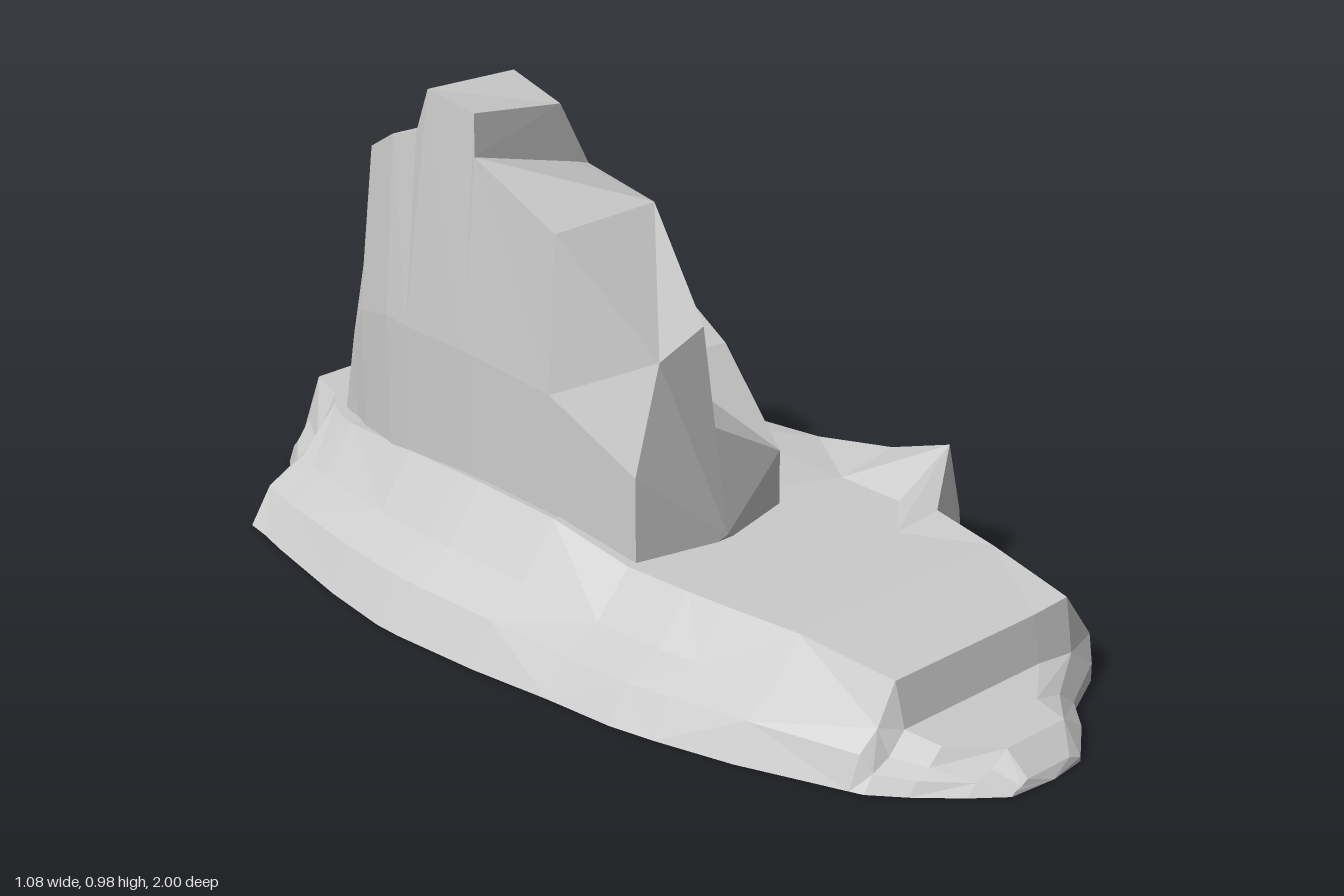
import * as THREE from 'three';

const mix = (a, b, t) => a + (b - a) * t;

// Skin a closed faceted solid over cross-sections that run from front to back;
// frontTip and backTip are the apexes of the end caps.
function loft(rings, frontTip, backTip) {
  const pos = [];
  const tri = (...corners) => corners.forEach((c) => pos.push(...c));
  const n = rings[0].length;
  for (let i = 0; i < rings.length - 1; i++) {
    for (let j = 0; j < n; j++) {
      const k = (j + 1) % n;
      const a = rings[i][j], b = rings[i][k], c = rings[i + 1][j], d = rings[i + 1][k];
      if ((i + j) % 2) { tri(a, b, c); tri(b, d, c); }
      else { tri(a, b, d); tri(a, d, c); }
    }
  }
  const last = rings[rings.length - 1];
  for (let j = 0; j < n; j++) {
    const k = (j + 1) % n;
    tri(frontTip, rings[0][k], rings[0][j]);
    tri(backTip, last[j], last[k]);
  }
  const g = new THREE.BufferGeometry();
  g.setAttribute('position', new THREE.Float32BufferAttribute(pos, 3));
  g.computeVertexNormals();
  return g;
}

// Low shelf: z, left edge x, inner ridge x, top y, shoulder x, shoulder y, right edge x
const shelfStations = [
  [0.99, -0.15, -0.11, 0.02, 0.0, 0.02, 0.03],
  [0.94, -0.21, -0.11, 0.06, 0.04, 0.06, 0.09],
  [0.87, -0.28, -0.20, 0.07, 0.11, 0.055, 0.15],
  [0.81, -0.33, -0.23, 0.09, 0.21, 0.08, 0.27],
  [0.785, -0.34, -0.23, 0.175, 0.22, 0.18, 0.29],
  [0.58, -0.42, -0.26, 0.20, 0.25, 0.20, 0.36],
  [0.42, -0.465, -0.28, 0.20, 0.27, 0.21, 0.34],
  [0.33, -0.485, -0.29, 0.20, 0.40, 0.275, 0.435],
  [0.18, -0.50, -0.30, 0.20, 0.40, 0.22, 0.515],
  [0.0, -0.525, -0.32, 0.24, 0.38, 0.19, 0.54],
  [-0.2, -0.54, -0.33, 0.25, 0.36, 0.18, 0.51],
  [-0.26, -0.54, -0.33, 0.25, 0.29, 0.16, 0.33],
  [-0.42, -0.52, -0.32, 0.24, 0.38, 0.14, 0.42],
  [-0.65, -0.475, -0.28, 0.21, 0.41, 0.14, 0.43],
  [-0.71, -0.46, -0.26, 0.20, 0.20, 0.18, 0.25],
  [-0.77, -0.45, -0.23, 0.20, 0.02, 0.20, 0.10],
  [-0.81, -0.33, -0.20, 0.20, -0.02, 0.20, 0.01],
  [-0.9, -0.25, -0.17, 0.20, -0.03, 0.20, -0.01],
  [-0.96, -0.21, -0.15, 0.09, -0.04, 0.09, -0.02],
];

function shelfRing([z, left, ridge, top, shoulder, shoulderY, right]) {
  return [
    [left, 0, z],
    [mix(left, ridge, 0.22), top * 0.36, z],
    [mix(left, ridge, 0.62), top * 0.56, z],
    [ridge, top, z],
    [mix(ridge, shoulder, 0.8), Math.min(top, 0.205), z],
    [shoulder, shoulderY, z],
    [right, shoulderY * 0.45, z],
    [right, 0, z],
  ];
}

// Tall crag: z, left wall x, left mid y, then x,y of left crest, right crest,
// crest shoulder, ledge inside, ledge edge, and finally the right foot x
const cragStations = [
  [0.18, -0.28, 0.37, -0.22, 0.58, -0.11, 0.62, -0.10, 0.54, -0.08, 0.41, 0.09, 0.31, 0.09],
  [-0.02, -0.31, 0.48, -0.29, 0.79, -0.045, 0.79, -0.04, 0.70, -0.04, 0.47, 0.14, 0.455, 0.14],
  [-0.24, -0.32, 0.50, -0.29, 0.88, -0.04, 0.81, -0.01, 0.80, 0.05, 0.49, 0.22, 0.49, 0.225],
  [-0.25, -0.32, 0.50, -0.28, 0.96, -0.07, 0.93, -0.01, 0.80, 0.05, 0.49, 0.22, 0.49, 0.225],
  [-0.37, -0.32, 0.50, -0.29, 0.98, -0.08, 0.97, -0.02, 0.82, 0.05, 0.56, 0.20, 0.57, 0.225],
  [-0.42, -0.32, 0.50, -0.28, 0.88, -0.04, 0.87, -0.02, 0.80, 0.04, 0.59, 0.20, 0.59, 0.22],
  [-0.49, -0.31, 0.50, -0.28, 0.86, -0.07, 0.85, -0.03, 0.74, 0.04, 0.60, 0.18, 0.595, 0.22],
  [-0.62, -0.27, 0.46, -0.23, 0.79, -0.09, 0.79, -0.06, 0.73, 0.01, 0.60, 0.13, 0.54, 0.23],
  [-0.685, -0.24, 0.38, -0.21, 0.52, -0.08, 0.56, -0.05, 0.55, 0.01, 0.53, 0.10, 0.46, 0.23],
  [-0.75, -0.22, 0.17, -0.19, 0.20, -0.08, 0.21, -0.05, 0.21, 0.0, 0.20, 0.07, 0.18, 0.13],
];

function cragRing([z, wall, midY, lx, ly, rx, ry, sx, sy, ix, iy, ex, ey, foot]) {
  return [[wall, 0.12, z], [wall, midY, z], [lx, ly, z], [rx, ry, z],
    [sx, sy, z], [ix, iy, z], [ex, ey, z], [foot, 0.12, z]];
}

export function createModel() {
  const group = new THREE.Group();
  group.name = 'rockOutcrop';
  const stone = new THREE.MeshStandardMaterial({ color: 0xcccccc, flatShading: true });

  const shelf = new THREE.Mesh(
    loft(shelfStations.map(shelfRing), [-0.05, 0, 1], [-0.03, 0, -1]), stone);
  shelf.name = 'rockShelf';

  const crag = new THREE.Mesh(
    loft(cragStations.map(cragRing), [-0.09, 0.21, 0.225], [-0.07, 0.15, -0.76]), stone);
  crag.name = 'rockCrag';

  group.add(shelf, crag);
  return group;
}
